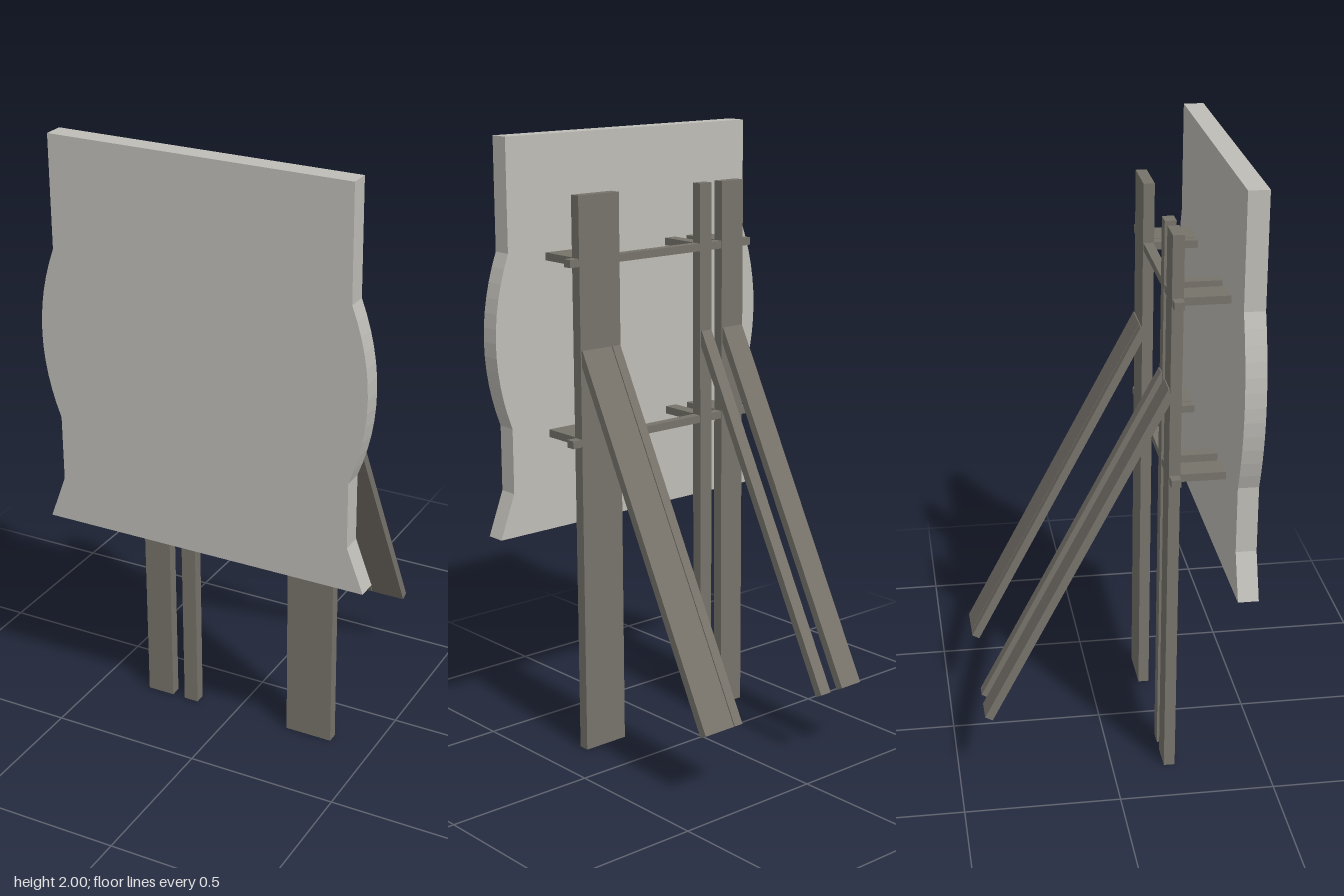
import * as THREE from 'three';

export function createModel() {
  const group = new THREE.Group();
  const panelMat = new THREE.MeshStandardMaterial({ color: 0xbfbdb7 });
  panelMat.name = 'light grey panel';
  const woodMat = new THREE.MeshStandardMaterial({ color: 0x77736b });
  woodMat.name = 'dark grey timber';

  // Box given by its extents on each axis
  function box(name, [x0, x1], [y0, y1], [z0, z1]) {
    const mesh = new THREE.Mesh(new THREE.BoxGeometry(x1 - x0, y1 - y0, z1 - z0), woodMat);
    mesh.position.set((x0 + x1) / 2, (y0 + y1) / 2, (z0 + z1) / 2);
    mesh.name = name;
    group.add(mesh);
  }

  // Sign panel: bulging sides and a flared foot, mirrored about x = 0
  const side = [[0.55, 0.72], [0.495, 0.865], [0.495, 1.08]];
  const steps = 12;
  for (let i = 1; i <= steps; i++) {
    const t = i / steps;
    side.push([0.495 + 0.055 * 4 * t * (1 - t), 1.08 + 0.56 * t]);
  }
  side.push([0.495, 2]);
  const outline = [...side, ...side.map(([x, y]) => [-x, y]).reverse()];
  const shape = new THREE.Shape(outline.map(([x, y]) => new THREE.Vector2(x, y)));
  const panel = new THREE.Mesh(
    new THREE.ExtrudeGeometry(shape, { depth: 0.065, bevelEnabled: false }), panelMat);
  panel.position.z = 0.35;
  panel.name = 'signPanel';
  group.add(panel);

  // Upright posts
  const posts = [[-0.33, -0.237], [-0.192, -0.142], [0.196, 0.356]];
  for (const p of posts) box('post', p, [0, 1.825], [0.17, 0.206]);

  // Two cross rails, with brackets carrying the panel
  const brackets = [[-0.325, -0.296], [-0.296, -0.24], [-0.188, -0.145], [0.2, 0.232], [0.236, 0.35]];
  for (const y of [1.03, 1.605]) {
    box('crossRail', [-0.365, 0.39], [y, y + 0.025], [0.172, 0.203]);
    for (const b of brackets) box('bracket', b, [y, y + 0.025], [0.2, 0.352]);
  }

  // Sloping rear braces
  const top = new THREE.Vector3(0, 1.335, 0.178);
  const foot = new THREE.Vector3(0, 0.227, -0.402);
  const run = top.clone().sub(foot);
  const braces = [[-0.325, -0.24], [-0.188, -0.145], [0.2, 0.232], [0.235, 0.352]];
  for (const [x0, x1] of braces) {
    const brace = new THREE.Mesh(new THREE.BoxGeometry(x1 - x0, run.length(), 0.027), woodMat);
    brace.position.copy(top).add(foot).multiplyScalar(0.5);
    brace.position.x = (x0 + x1) / 2;
    brace.rotation.x = Math.atan2(run.z, run.y);
    brace.name = 'brace';
    group.add(brace);
  }

  return group;
}
